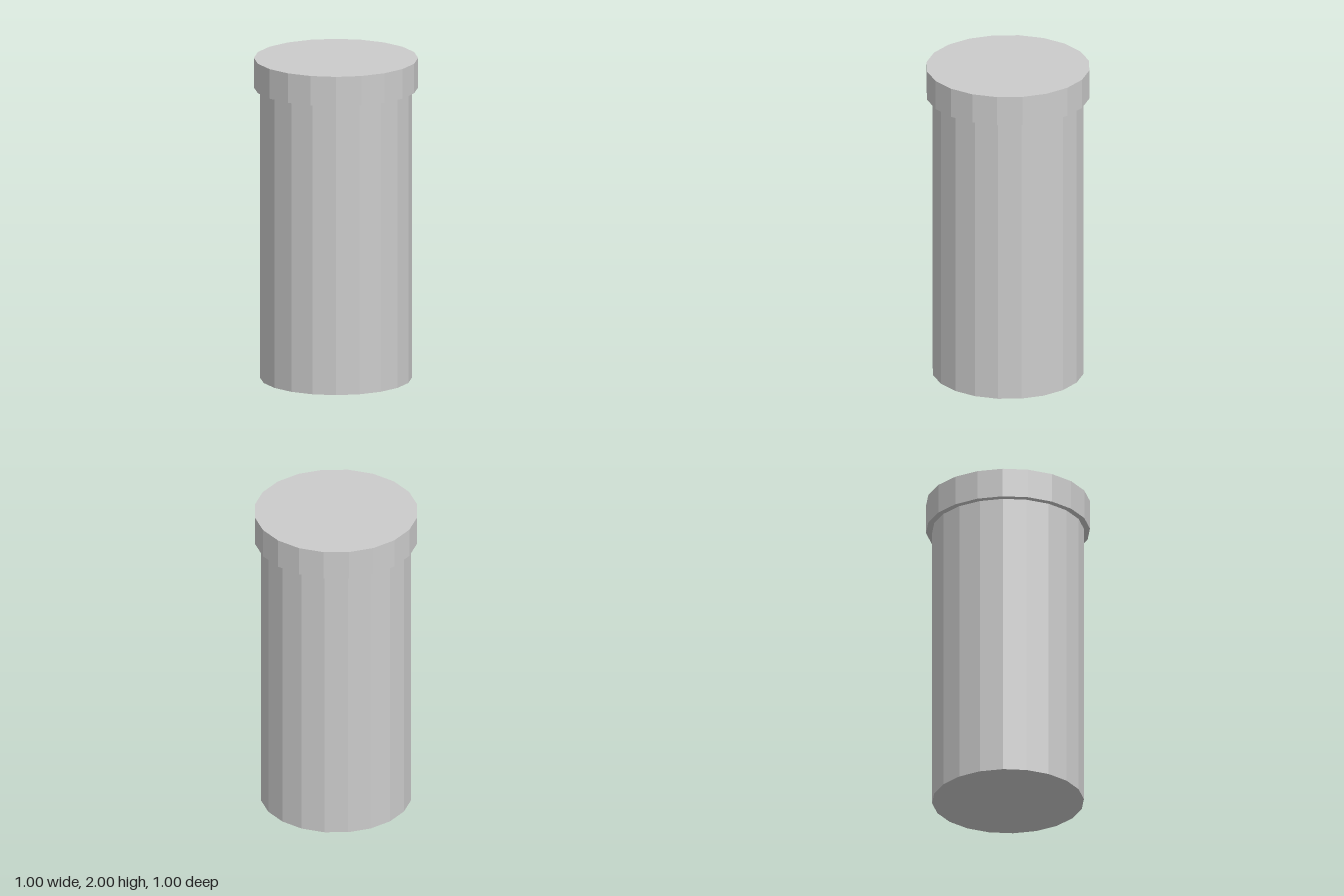
import * as THREE from 'three';

const SIDES = 20;

export function createModel() {
  const group = new THREE.Group();
  group.name = 'lidded canister';
  const material = new THREE.MeshStandardMaterial({ color: 0xcccccc, flatShading: true });

  // Upright faceted cylinder spanning bottom..top
  const addCylinder = (name, radius, bottom, top) => {
    const mesh = new THREE.Mesh(
      new THREE.CylinderGeometry(radius, radius, top - bottom, SIDES),
      material
    );
    mesh.name = name;
    mesh.position.y = (bottom + top) / 2;
    group.add(mesh);
  };

  // Tall body, capped by a slightly wider lid
  addCylinder('body', 0.463, 0, 1.815);
  addCylinder('lid', 0.5, 1.815, 2);

  return group;
}
